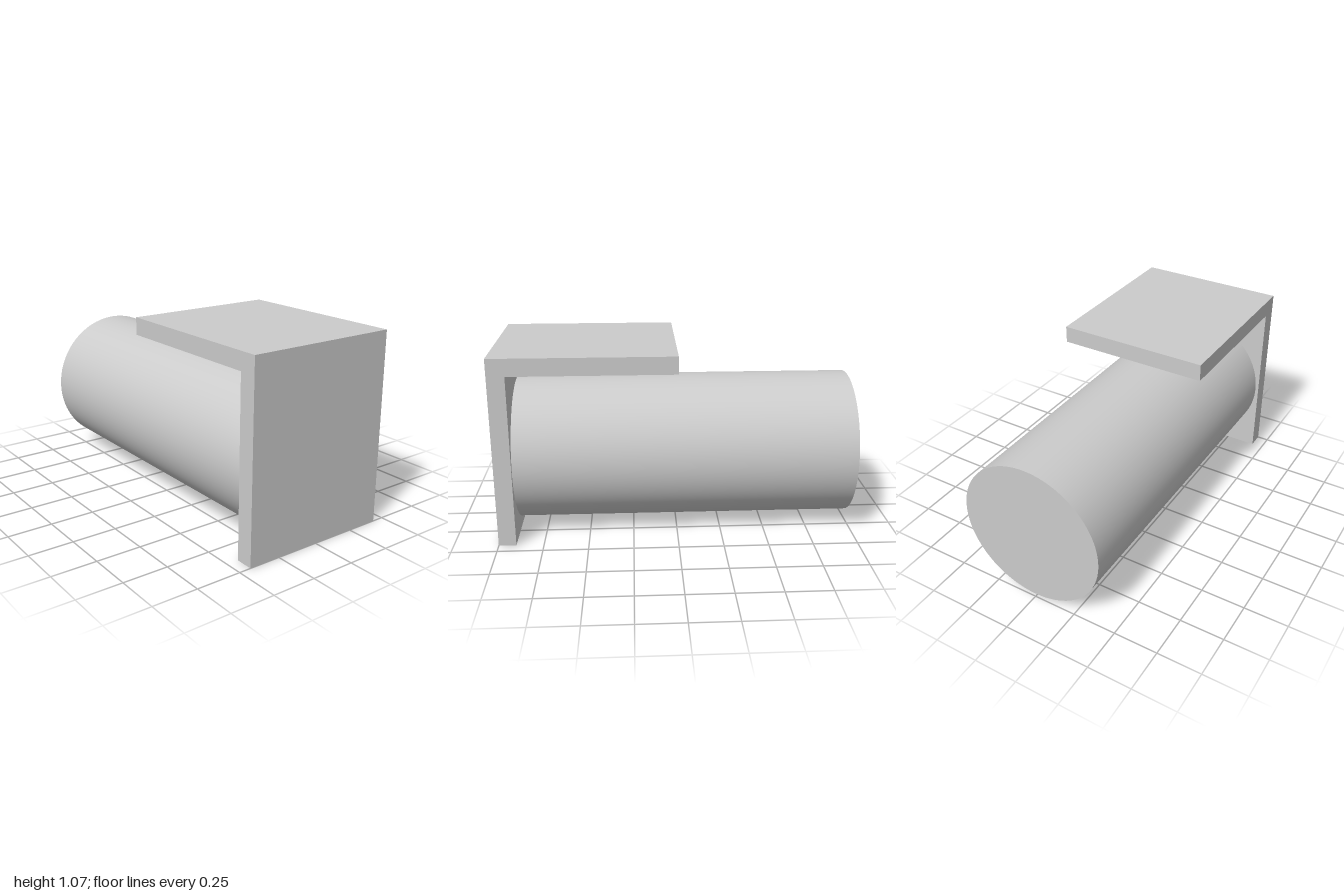
import * as THREE from 'three';

const WIDTH = 0.866, HEIGHT = 1.067, THICK = 0.097;
const RADIUS = 0.414, AXIS_Y = 0.436;

export function createModel() {
  const model = new THREE.Group();
  const material = new THREE.MeshStandardMaterial({ color: 0xcccccc });

  // L-shaped bracket: side profile (z, y) extruded across the width
  const profile = new THREE.Shape([
    [1, 0], [1, HEIGHT], [0, HEIGHT], [0, HEIGHT - THICK],
    [1 - THICK, HEIGHT - THICK], [1 - THICK, 0],
  ].map(([z, y]) => new THREE.Vector2(-z, y)));
  const bracketGeometry = new THREE.ExtrudeGeometry(profile, { depth: WIDTH, bevelEnabled: false });
  bracketGeometry.translate(0, 0, -WIDTH / 2).rotateY(Math.PI / 2);
  const bracket = new THREE.Mesh(bracketGeometry, material);
  bracket.name = 'bracket';
  model.add(bracket);

  // Round bar running from the bracket plate to the back
  const length = 2 - THICK;
  const barGeometry = new THREE.CylinderGeometry(RADIUS, RADIUS, length, 96);
  barGeometry.rotateX(Math.PI / 2);
  const bar = new THREE.Mesh(barGeometry, material);
  bar.name = 'roundBar';
  bar.position.set(0, AXIS_Y, -1 + length / 2);
  model.add(bar);

  return model;
}
